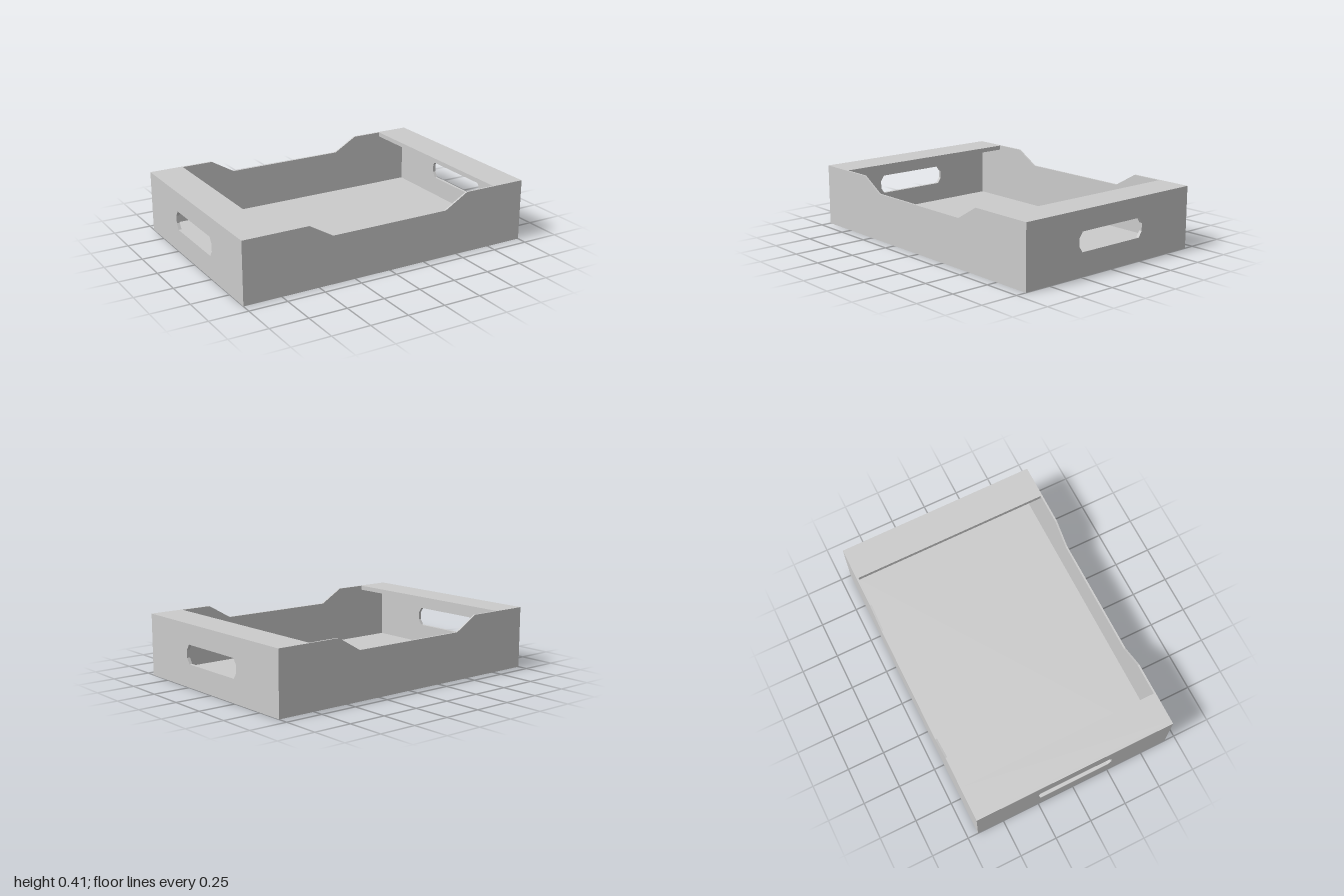
import * as THREE from 'three';

const HALF_X = 1, HALF_Z = 0.68, HEIGHT = 0.406;
const SIDE = 0.012, END = 0.02, FLOOR = 0.022, LEDGE = 0.03, LEDGE_X = 0.775;

export function createModel() {
  const tray = new THREE.Group();
  tray.name = 'tray';
  const material = new THREE.MeshStandardMaterial({ color: 0xcccccc, flatShading: true });

  const add = (name, geometry, x, y, z) => {
    const mesh = new THREE.Mesh(geometry, material);
    mesh.name = name;
    mesh.position.set(x, y, z);
    tray.add(mesh);
    return mesh;
  };
  const points = (list) => list.map(([x, y]) => new THREE.Vector2(x, y));
  const panel = (shape, depth) => new THREE.ExtrudeGeometry(shape, { depth, bevelEnabled: false });

  const innerX = HALF_X - END, innerZ = HALF_Z - SIDE;

  // Floor between the walls
  add('floor', new THREE.BoxGeometry(innerX * 2, FLOOR, innerZ * 2), 0, FLOOR / 2, 0);

  // Long walls with a dipped top edge
  const longWall = panel(new THREE.Shape(points([
    [-HALF_X, 0], [HALF_X, 0], [HALF_X, HEIGHT], [0.565, HEIGHT], [0.405, 0.313],
    [-0.405, 0.313], [-0.565, HEIGHT], [-HALF_X, HEIGHT],
  ])), SIDE);
  add('frontWall', longWall, 0, 0, innerZ);
  add('backWall', longWall, 0, 0, -HALF_Z);

  // End walls with a chamfered handle slot
  const endShape = new THREE.Shape(points([
    [-innerZ, 0], [innerZ, 0], [innerZ, HEIGHT], [-innerZ, HEIGHT],
  ]));
  endShape.holes.push(new THREE.Path(points([
    [-0.24, 0.15], [-0.265, 0.187], [-0.265, 0.238], [-0.24, 0.275],
    [0.24, 0.275], [0.265, 0.238], [0.265, 0.187], [0.24, 0.15],
  ])));
  const endWall = panel(endShape, END).rotateY(Math.PI / 2);

  // Flat ledge along the top of each end
  const ledgeWidth = innerX - LEDGE_X;
  const ledge = new THREE.BoxGeometry(ledgeWidth, LEDGE, innerZ * 2);

  for (const [side, s] of [['left', 1], ['right', -1]]) {
    add(side + 'EndWall', endWall, s > 0 ? innerX : -HALF_X, 0, 0);
    add(side + 'Ledge', ledge, s * (LEDGE_X + ledgeWidth / 2), HEIGHT - LEDGE / 2, 0);
  }
  return tray;
}
